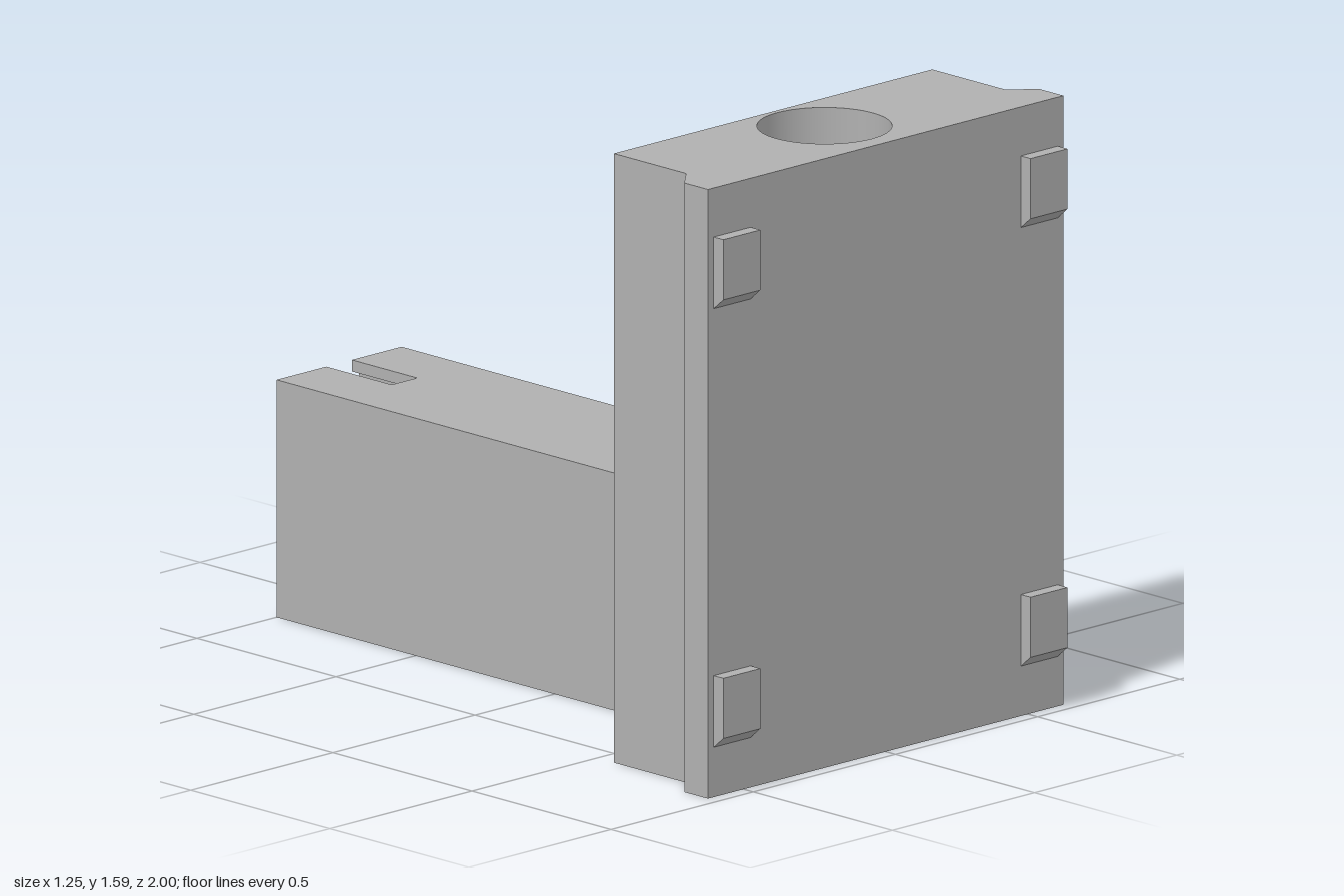
import * as THREE from 'three';
import { toCreasedNormals } from 'three/addons/utils/BufferGeometryUtils.js';

const grey = new THREE.MeshStandardMaterial({ color: 0xb0b0b0 });
grey.name = 'plain grey';

const shapeOf = (pts) => new THREE.Shape(pts.map(([a, b]) => new THREE.Vector2(a, b)));
const mirrored = (half) => [...half, ...half.map(([x, y]) => [-x, y]).reverse()];

function drill(shape, x, y, r) {
  const hole = new THREE.Path();
  hole.absarc(x, y, r, 0, Math.PI * 2, true);
  shape.holes.push(hole);
  return shape;
}

// Extrude an x-y outline from z0 to z1
function alongZ(shape, z0, z1) {
  const g = new THREE.ExtrudeGeometry(shape, { depth: z1 - z0, bevelEnabled: false });
  return g.translate(0, 0, z0);
}

// Extrude an x-z outline from y0 to y1
function alongY(shape, y0, y1) {
  const g = new THREE.ExtrudeGeometry(shape, { depth: y1 - y0, bevelEnabled: false, curveSegments: 32 });
  return toCreasedNormals(g.rotateX(Math.PI / 2).translate(0, y1, 0), 0.5);
}

function box(x0, x1, y0, y1, z0, z1) {
  return new THREE.BoxGeometry(x1 - x0, y1 - y0, z1 - z0)
    .translate((x0 + x1) / 2, (y0 + y1) / 2, (z0 + z1) / 2);
}

export function createModel() {
  const model = new THREE.Group();
  model.name = 'mountingBracket';
  const add = (name, geometry) => {
    const mesh = new THREE.Mesh(geometry, grey);
    mesh.name = name;
    model.add(mesh);
  };

  // Upright block with flanged front edges and a vertical bore
  const plan = shapeOf(mirrored([[0.56, 0.56], [0.56, 0.82], [0.625, 0.88], [0.625, 0.965]]));
  add('uprightBlock', alongY(drill(plan, 0, 0.745, 0.17), 0, 1.59));

  // Stepped seat at the bottom of the bore
  const seat = [[0.17, 0.3], [0.145, 0.24], [0.145, 0.19], [0.16, 0.17], [0.16, 0.13],
    [0.145, 0.11], [0.145, 0.07], [0.16, 0.05], [0.16, 0], [0.17, 0]]
    .map(([r, y]) => new THREE.Vector2(r, y));
  add('boreSeat', toCreasedNormals(new THREE.LatheGeometry(seat, 64), 0.4).translate(0, 0, 0.745));

  // Four front tabs with a sloping underside
  for (const y of [0.13, 1.275]) {
    for (const x of [-0.54, 0.54]) {
      const side = shapeOf([[-0.965, y], [-0.965, y + 0.187], [-1, y + 0.187], [-1, y + 0.03]]);
      const g = new THREE.ExtrudeGeometry(side, { depth: 0.13, bevelEnabled: false });
      add('frontTab', g.rotateY(Math.PI / 2).translate(x - 0.065, 0, 0));
    }
  }

  // Neck behind the block: solid base and drilled pocket floor
  const back = 0.337, pocketEnd = 0.525;
  add('neckBase', box(-0.25, 0.25, 0, 0.55, back, 0.56));
  const floor = shapeOf([[-0.25, back], [0.25, back], [0.25, 0.56], [-0.25, 0.56]]);
  add('pocketFloor', alongY(drill(floor, 0, 0.43, 0.038), 0.55, 0.768));

  // Gabled wall closing the pocket
  const gable = [[0.25, 0.768], [0.25, 0.925], [0.235, 0.925], [0, 1.16],
    [-0.235, 0.925], [-0.25, 0.925], [-0.25, 0.768]];
  add('gableWall', alongZ(shapeOf(gable), pocketEnd, 0.56));

  // Side walls and sloping roof halves around the pocket
  for (const s of [-1, 1]) {
    const half = [[0.25, 0.768], [0.25, 0.925], [0.235, 0.925], [0.045, 1.115],
      [0.045, 1.001], [0.2, 0.846], [0.2, 0.768]];
    add('roofHalf', alongZ(shapeOf(half.map(([x, y]) => [s * x, y])), back, pocketEnd));
  }

  // Sunken ridge strip with a screw hole
  const ridge = shapeOf([[-0.046, back], [0.046, back], [0.046, pocketEnd], [-0.046, pocketEnd]]);
  add('ridgeStrip', alongY(drill(ridge, 0, 0.43, 0.042), 1.01, 1.09));

  // Long beam, its end cut by an undercut slot
  add('beam', box(-0.22, 0.22, 0, 0.62, -0.765, back));
  const end = shapeOf(mirrored([[0.22, 0], [0.22, 0.62], [0.045, 0.62], [0.045, 0.59],
    [0.07, 0.59], [0.07, 0.56]]));
  add('beamEnd', alongZ(end, -1, -0.765));

  return model;
}
